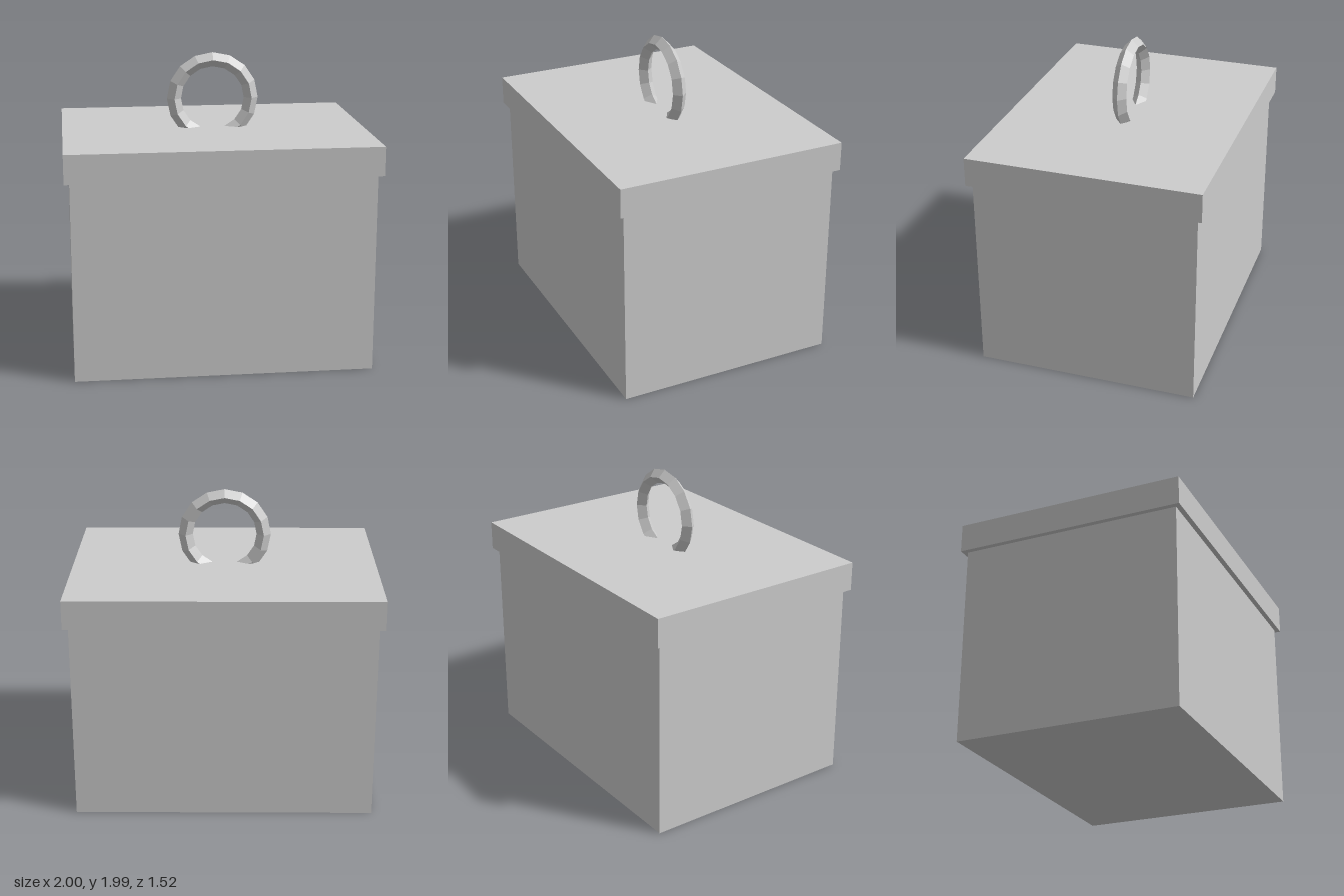
import * as THREE from 'three';

export function createModel() {
  const model = new THREE.Group();
  const grey = new THREE.MeshStandardMaterial({ color: 0xcccccc, flatShading: true });
  grey.name = 'light grey';

  const add = (name, geometry, y) => {
    const mesh = new THREE.Mesh(geometry, grey);
    mesh.name = name;
    mesh.position.y = y;
    model.add(mesh);
  };

  const bodyHeight = 1.3;
  const lidHeight = 0.188;

  // Plain chest body with an overhanging lid
  add('body', new THREE.BoxGeometry(1.932, bodyHeight, 1.45), bodyHeight / 2);
  add('lid', new THREE.BoxGeometry(2, lidHeight, 1.516), bodyHeight + lidHeight / 2);

  // Ring handle with a diamond section, sunk into the lid
  add('ringHandle', new THREE.TorusGeometry(0.257, 0.047, 4, 16), 1.682);

  return model;
}
